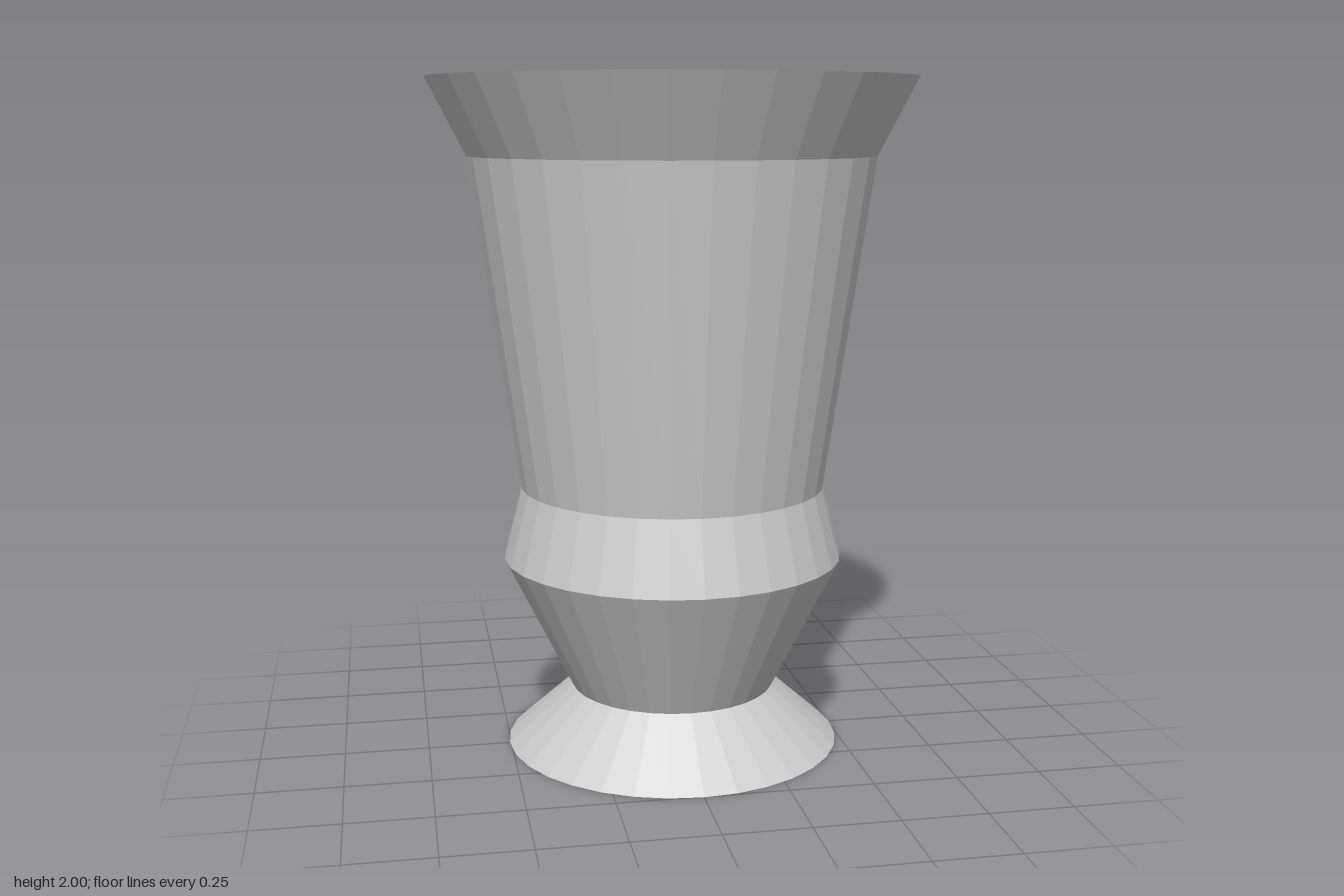
import * as THREE from 'three';

export function createModel() {
  const group = new THREE.Group();
  group.name = 'vase';
  const material = new THREE.MeshStandardMaterial({
    color: 0xcccccc, flatShading: true, side: THREE.DoubleSide,
  });

  // Thin open shell turned around y, from [radius, height] points
  const addBand = (name, ...profile) => {
    const points = profile.map(([r, y]) => new THREE.Vector2(r, y));
    const mesh = new THREE.Mesh(new THREE.LatheGeometry(points, 32), material);
    mesh.name = name;
    group.add(mesh);
  };

  const base = [0.505, 0];
  const neck = [0.308, 0.175];
  const bulge = [0.51, 0.58];
  const waist = [0.455, 0.795];
  const shoulder = [0.598, 1.775];
  const rim = [0.713, 2];

  addBand('foot', base, neck);
  addBand('lowerBowl', neck, bulge, waist);
  addBand('body', waist, shoulder);
  addBand('flaredRim', shoulder, rim);

  return group;
}
